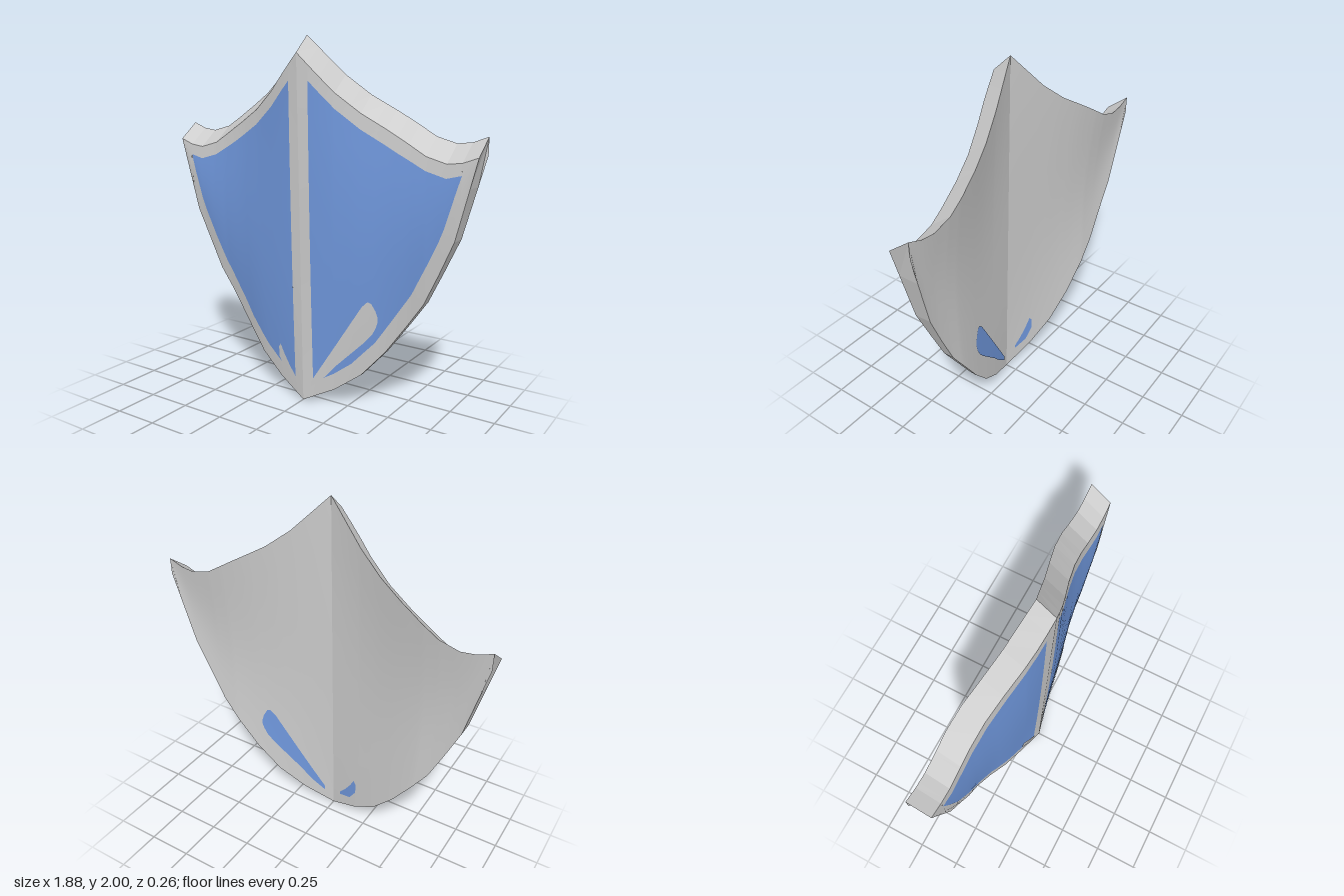
import * as THREE from 'three';

// Straight-line interpolation through [x, value] pairs
const line = (pts) => (x) => {
  let i = 1;
  while (i < pts.length - 1 && x > pts[i][0]) i++;
  const [a, b] = [pts[i - 1], pts[i]];
  const t = Math.min(1, Math.max(0, (x - a[0]) / (b[0] - a[0])));
  return a[1] + (b[1] - a[1]) * t;
};

// Outline of one half: lower rim and upper rim height across x
const low = line([[0, 0], [0.18, 0.09], [0.33, 0.2], [0.46, 0.35], [0.58, 0.52],
  [0.67, 0.65], [0.75, 0.82], [0.83, 1.0], [0.94, 1.42]]);
const top = line([[0, 1.91], [0.2, 1.71], [0.33, 1.61], [0.52, 1.5], [0.67, 1.41],
  [0.78, 1.38], [0.86, 1.39], [0.94, 1.42]]);
const backTop = (x) => top(x) + 0.09;

// Depth along the rims, front and back
const frontLowZ = line([[0, 0.07], [0.18, 0.03], [0.33, 0], [0.46, -0.03], [0.58, -0.04],
  [0.67, -0.035], [0.75, -0.03], [0.83, -0.02], [0.94, -0.01]]);
const frontTopZ = line([[0, 0.13], [0.1, 0.11], [0.2, 0.08], [0.33, 0.04], [0.46, 0.01],
  [0.58, -0.005], [0.67, -0.01], [0.94, -0.01]]);
const backLowZ = line([[0, 0.07], [0.18, 0.015], [0.33, -0.03], [0.46, -0.065], [0.58, -0.09],
  [0.67, -0.095], [0.75, -0.1], [0.83, -0.11], [0.94, -0.13]]);
const backTopZ = line([[0, 0.03], [0.1, 0], [0.2, -0.03], [0.33, -0.07], [0.46, -0.105],
  [0.58, -0.125], [0.67, -0.13], [0.94, -0.13]]);

// Depth inside the rims: straight up each column, with a slight bulge
const surface = (lo, hi, loZ, hiZ) => (x, y) => {
  const t = Math.min(1, Math.max(0, (y - lo(x)) / Math.max(1e-4, hi(x) - lo(x))));
  const bulge = 0.035 * Math.sin(Math.PI * x / 0.94) * Math.sin(Math.PI * t);
  return loZ(x) + (hiZ(x) - loZ(x)) * t + bulge;
};
const frontZ = surface(low, top, frontLowZ, frontTopZ);
const backZ = surface(low, backTop, backLowZ, backTopZ);

// Inset panel edges
const panelLow = line([[0.06, 0.12], [0.16, 0.17], [0.28, 0.26], [0.41, 0.4], [0.53, 0.58],
  [0.61, 0.7], [0.69, 0.86], [0.77, 1.03], [0.86, 1.33]]);
const panelTop = line([[0.06, 1.77], [0.2, 1.63], [0.33, 1.53], [0.52, 1.42], [0.67, 1.34],
  [0.78, 1.31], [0.86, 1.33]]);

const COLUMNS = [0, 0.06, 0.12, 0.18, 0.2, 0.28, 0.33, 0.41, 0.46, 0.52, 0.58, 0.61, 0.67,
  0.69, 0.75, 0.78, 0.83, 0.86, 0.9, 0.94];
const between = (a, b) => COLUMNS.filter((x) => x >= a && x <= b);

const grey = new THREE.MeshStandardMaterial({ color: 0xcccccc, side: THREE.DoubleSide });
const rimGrey = new THREE.MeshStandardMaterial({
  color: 0xcccccc, side: THREE.DoubleSide, flatShading: true,
});
const blue = new THREE.MeshStandardMaterial({ color: 0x6f97dc, side: THREE.DoubleSide });

// Mesh from columns of points; flip reverses the faces
function skin(name, columns, material, flip) {
  const n = columns[0].length;
  const index = [];
  for (let i = 0; i < columns.length - 1; i++) {
    for (let j = 0; j < n - 1; j++) {
      const a = i * n + j, b = a + n, c = b + 1, d = a + 1;
      index.push(...(flip ? [a, c, b, a, d, c] : [a, b, c, a, c, d]));
    }
  }
  const geometry = new THREE.BufferGeometry();
  geometry.setAttribute('position', new THREE.Float32BufferAttribute(columns.flat(2), 3));
  geometry.setIndex(index);
  geometry.computeVertexNormals();
  const mesh = new THREE.Mesh(geometry, material);
  mesh.name = name;
  return mesh;
}

// Part of a curved face between two height curves
function sheet(name, xs, lo, hi, z, side, material, back = false, rows = 10) {
  const columns = xs.map((x) => Array.from({ length: rows + 1 }, (_, j) => {
    const y = lo(x) + (hi(x) - lo(x)) * j / rows;
    return [side * x, y, z(x, y)];
  }));
  return skin(name, columns, material, (side < 0) !== back);
}

export function createModel() {
  const shield = new THREE.Group();
  shield.name = 'shield';

  // Leaf inlays beside the lower tip, a long one and a short one
  const leaves = {
    1: {
      xs: [0.05, 0.13, 0.2, 0.3, 0.35, 0.38, 0.4, 0.42, 0.43],
      lo: line([[0.05, 0.09], [0.13, 0.16], [0.2, 0.24], [0.36, 0.4], [0.41, 0.46], [0.43, 0.52]]),
      hi: line([[0.05, 0.12], [0.2, 0.36], [0.35, 0.6], [0.38, 0.63], [0.41, 0.62], [0.43, 0.55]]),
    },
    '-1': {
      xs: [0.06, 0.1, 0.14, 0.17, 0.185],
      lo: line([[0.06, 0.11], [0.14, 0.14], [0.185, 0.21]]),
      hi: line([[0.06, 0.13], [0.12, 0.2], [0.17, 0.29], [0.185, 0.27]]),
    },
  };

  for (const side of [1, -1]) {
    const half = new THREE.Group();
    half.name = side > 0 ? 'leftHalf' : 'rightHalf';
    const mid = between(0.06, 0.86);

    // Front: border strips around the coloured panel
    half.add(
      sheet('centreStrip', between(0, 0.06), low, top, frontZ, side, grey),
      sheet('lowerBorder', mid, low, panelLow, frontZ, side, grey, false, 2),
      sheet('upperBorder', mid, panelTop, top, frontZ, side, grey, false, 2),
      sheet('cornerBorder', between(0.86, 0.94), low, top, frontZ, side, grey, false, 4),
      sheet('panel', mid, panelLow, panelTop, frontZ, side, blue),
    );

    // Back
    half.add(sheet('backFace', COLUMNS, low, backTop, backZ, side, grey, true));

    // Edge walls joining front and back
    half.add(
      skin('upperEdge', COLUMNS.map((x) => [
        [side * x, top(x), frontTopZ(x)], [side * x, backTop(x), backTopZ(x)],
      ]), rimGrey, side < 0),
      skin('lowerEdge', COLUMNS.map((x) => [
        [side * x, low(x), frontLowZ(x)],
        [side * x, x === 0.94 ? backTop(x) : low(x), backLowZ(x)],
      ]), rimGrey, side > 0),
    );

    // Leaf inlays, grey on the front and blue on the back
    const { xs, lo, hi } = leaves[side];
    half.add(
      sheet('frontLeaf', xs, lo, hi, (x, y) => frontZ(x, y) + 0.004, side, grey, false, 4),
      sheet('backLeaf', xs, lo, hi, (x, y) => backZ(x, y) - 0.004, side, blue, true, 4),
    );
    shield.add(half);
  }
  return shield;
}
